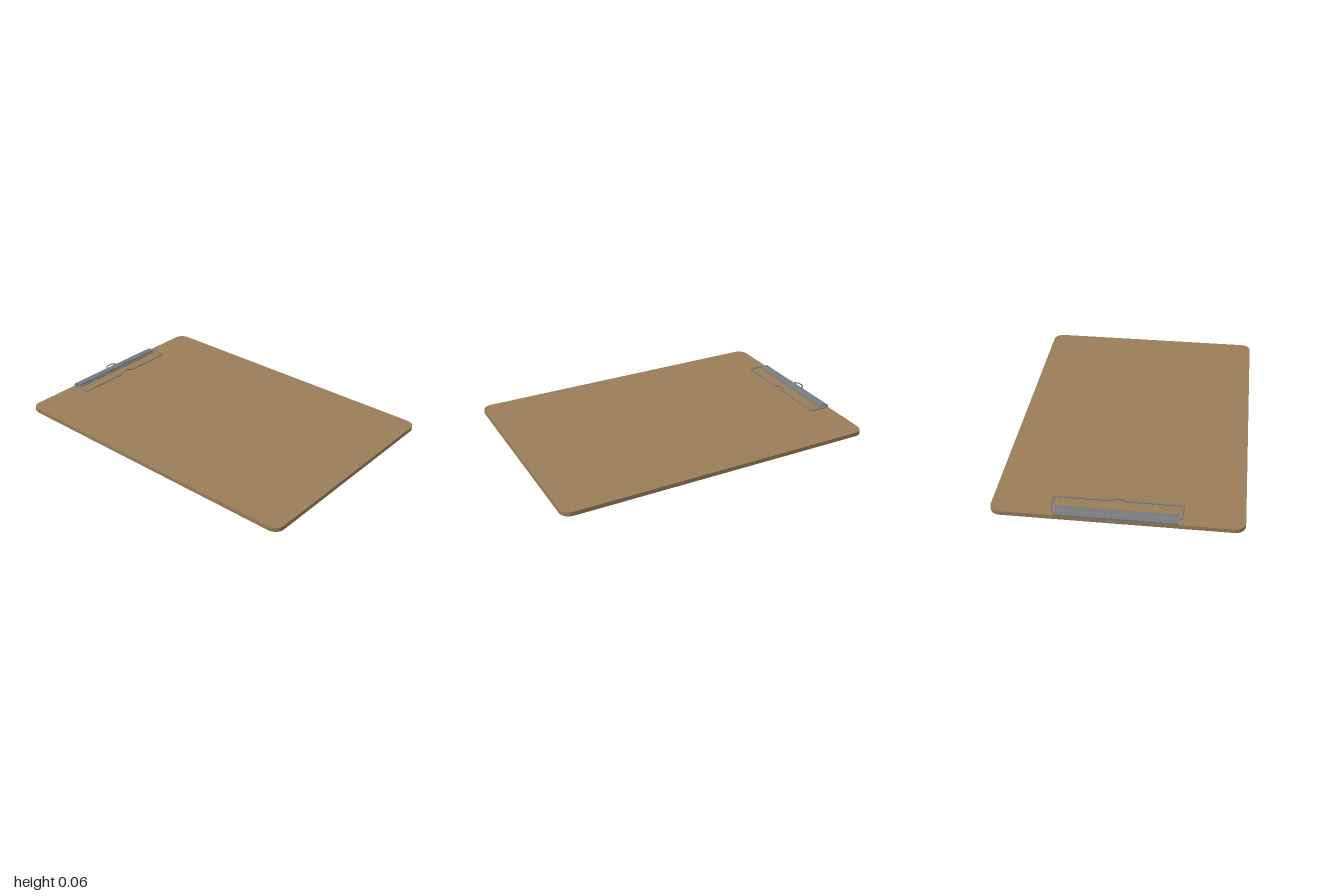
import * as THREE from 'three';

const V = (x, y, z) => new THREE.Vector3(x, y, z);

// Straight runs joined by rounded corners
function roundedPath(pts, r) {
  const path = new THREE.CurvePath();
  let prev = pts[0];
  for (let i = 1; i < pts.length - 1; i++) {
    const a = pts[i].clone().add(pts[i - 1].clone().sub(pts[i]).setLength(r));
    const b = pts[i].clone().add(pts[i + 1].clone().sub(pts[i]).setLength(r));
    path.add(new THREE.LineCurve3(prev, a));
    path.add(new THREE.QuadraticBezierCurve3(a, pts[i], b));
    prev = b;
  }
  path.add(new THREE.LineCurve3(prev, pts[pts.length - 1]));
  return path;
}

export function createModel() {
  const group = new THREE.Group();
  const wood = new THREE.MeshStandardMaterial({ name: 'brown hardboard', color: 0x9a7d58 });
  const metal = new THREE.MeshStandardMaterial({ name: 'grey steel', color: 0x787b7f });

  const add = (name, geometry, material) => {
    const mesh = new THREE.Mesh(geometry, material);
    mesh.name = name;
    group.add(mesh);
    return mesh;
  };

  // Board with rounded corners
  const w = 0.7, front = -1, back = 0.965, r = 0.06, T = 0.025;
  const s = new THREE.Shape();
  s.absarc(w - r, back - r, r, 0, Math.PI / 2);
  s.absarc(-w + r, back - r, r, Math.PI / 2, Math.PI);
  s.absarc(-w + r, front + r, r, Math.PI, Math.PI * 1.5);
  s.absarc(w - r, front + r, r, Math.PI * 1.5, Math.PI * 2);
  s.closePath();
  const boardGeo = new THREE.ExtrudeGeometry(s, { depth: T, bevelEnabled: false, curveSegments: 10 });
  boardGeo.rotateX(-Math.PI / 2);
  add('board', boardGeo, wood);

  // Folded sheet-metal clip: a curled strip, drawn as (back distance, height)
  const outer = [[0.965, 0.025], [0.965, 0.034], [0.95, 0.05], [0.943, 0.053],
    [0.915, 0.053], [0.908, 0.049], [0.906, 0.042]];
  const inner = [[0.911, 0.042], [0.912, 0.046], [0.917, 0.048], [0.941, 0.048],
    [0.947, 0.046], [0.959, 0.032], [0.955, 0.03], [0.912, 0.03], [0.912, 0.025]];
  const strip = new THREE.Shape([...outer, ...inner].map(([d, y]) => new THREE.Vector2(d, y)));
  const clipLength = 0.684;
  const clipGeo = new THREE.ExtrudeGeometry(strip, { depth: clipLength, bevelEnabled: false });
  clipGeo.rotateY(Math.PI / 2);
  clipGeo.translate(-clipLength / 2, 0, 0);
  add('clipPlate', clipGeo, metal);

  // Wire bail with a raised thumb bump at the middle of its front bar
  const y = 0.04, zf = -0.822, zb = -0.935, wx = 0.36;
  const bump = [];
  for (let i = 0; i <= 12; i++) {
    const t = i / 6 - 1;
    bump.push(V(t * 0.055, y + 0.0085 * (1 + Math.cos(Math.PI * t)), zf));
  }
  const side = (m) => [V(m * 0.32, y, zb), V(m * wx, y, zb), V(m * wx, y, zf), V(m * 0.055, y, zf)];
  const bail = new THREE.CurvePath();
  roundedPath(side(-1), 0.01).curves.forEach((c) => bail.add(c));
  bail.add(new THREE.CatmullRomCurve3(bump));
  roundedPath(side(1).reverse(), 0.01).curves.forEach((c) => bail.add(c));
  // One tube per run keeps the corners crisp and the straights light
  const bailGroup = new THREE.Group();
  bailGroup.name = 'wireBail';
  bail.curves.forEach((c) => {
    const n = c.isLineCurve3 ? 1 : c.isCatmullRomCurve3 ? 24 : 5;
    const mesh = new THREE.Mesh(new THREE.TubeGeometry(c, n, 0.004, 8), metal);
    mesh.name = 'bailWire';
    bailGroup.add(mesh);
  });
  group.add(bailGroup);

  // Hanging loop behind the clip
  const loop = [V(-0.042, 0.035, -0.945)];
  for (let i = 0; i <= 12; i++) {
    const a = Math.PI * (1 - i / 12);
    loop.push(V(0.042 * Math.cos(a), 0.035, -0.966 - 0.03 * Math.sin(a)));
  }
  loop.push(V(0.042, 0.035, -0.945));
  add('hangingLoop', new THREE.TubeGeometry(new THREE.CatmullRomCurve3(loop), 32, 0.004, 8), metal);

  return group;
}
